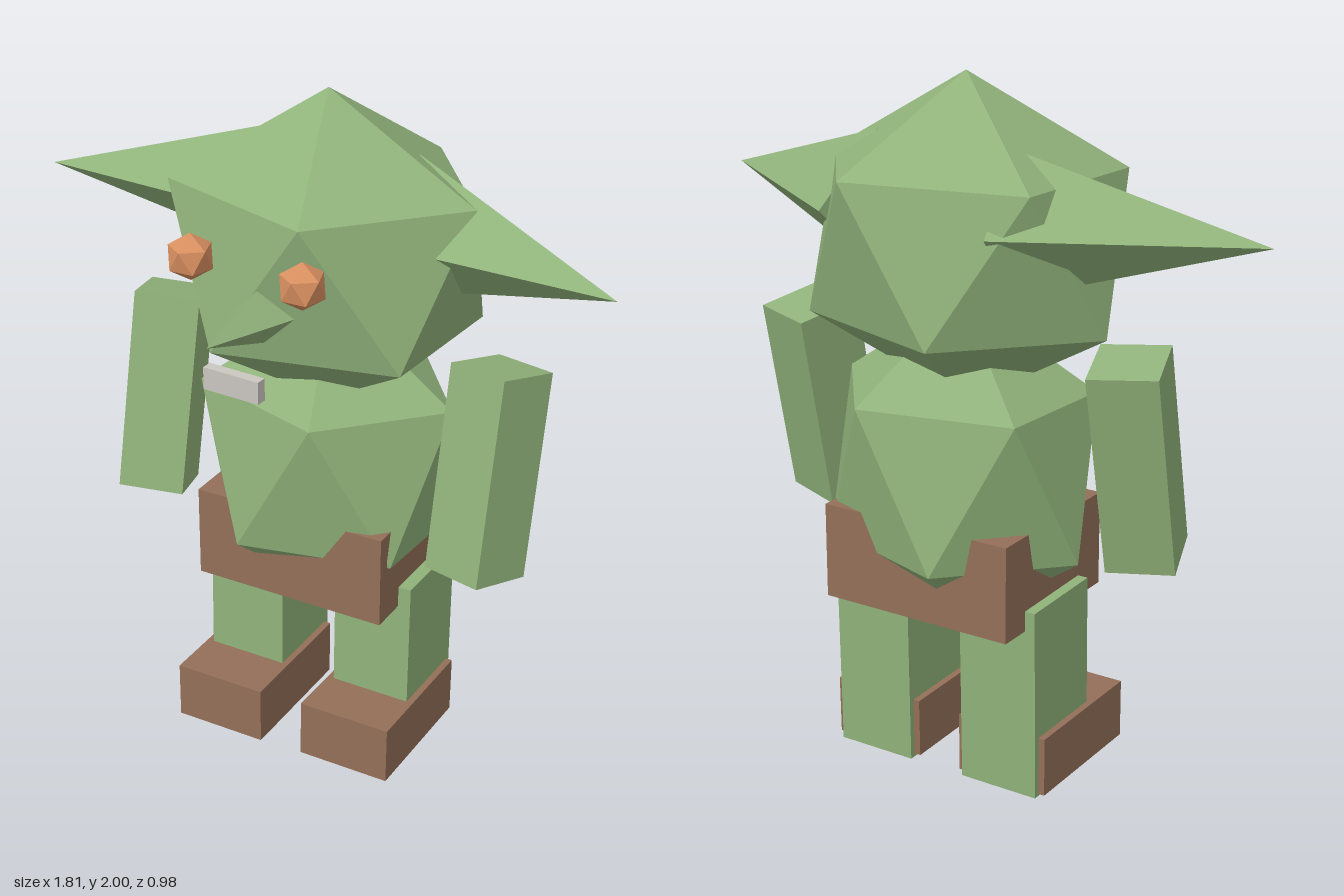
import * as THREE from 'three';

const material = (name, color) => {
  const m = new THREE.MeshStandardMaterial({ color, flatShading: true });
  m.name = name;
  return m;
};

// Twenty-sided ball standing on one point: two rings of five corners between two poles
function icosahedron(rx, ry, rz, turn) {
  const flat = Math.sqrt(0.8), h = Math.sqrt(0.2), pos = [], index = [];
  const ring = (start, y) => {
    for (let k = 0; k < 5; k++) {
      const a = start + (k * Math.PI * 2) / 5;
      pos.push(rx * flat * Math.cos(a), ry * y, rz * flat * Math.sin(a));
    }
  };
  ring(turn, h);
  ring(turn + Math.PI / 5, -h);
  pos.push(0, ry, 0, 0, -ry, 0);
  for (let k = 0; k < 5; k++) {
    const n = (k + 1) % 5;
    index.push(10, n, k, k, n, 5 + k, 5 + k, n, 5 + n, 11, 5 + k, 5 + n);
  }
  const g = new THREE.BufferGeometry();
  g.setAttribute('position', new THREE.Float32BufferAttribute(pos, 3));
  g.setIndex(index);
  const faceted = g.toNonIndexed();
  faceted.computeVertexNormals();
  return faceted;
}

export function createModel() {
  const model = new THREE.Group();
  model.name = 'creature';
  const skin = material('green skin', 0x90b27a);
  const leather = material('brown leather', 0x936f58);
  const amber = material('amber eyes', 0xd88f60);
  const bone = material('pale teeth', 0xcac6c0);
  const deg = Math.PI / 180;

  const add = (name, geometry, mat, position, rotation = [0, 0, 0]) => {
    const mesh = new THREE.Mesh(geometry, mat);
    mesh.name = name;
    mesh.position.set(...position);
    mesh.rotation.set(...rotation);
    model.add(mesh);
    return mesh;
  };
  const box = (w, h, d) => new THREE.BoxGeometry(w, h, d);

  // Head and body
  add('head', icosahedron(0.51, 0.464, 0.437, 3 * deg), skin, [0, 1.536, -0.112]);
  add('body', icosahedron(0.44, 0.487, 0.37, 3 * deg), skin, [0, 0.9, -0.14]);

  // Four-sided ears, each turned forward by its own angle
  for (const [name, side, yaw, tipZ] of [['leftEar', 1, 18, 0.03], ['rightEar', -1, 11, -0.09]]) {
    const a = yaw * deg, half = 0.35;
    add(name, new THREE.ConeGeometry(0.2, half * 2, 4), skin,
      [side * (0.905 - half * Math.cos(a)), 1.63, tipZ - half * Math.sin(a)],
      [0, -side * a, -side * Math.PI / 2]);
  }

  // Face
  add('leftEye', icosahedron(0.068, 0.068, 0.068, 0.3), amber, [0.155, 1.615, 0.305]);
  add('rightEye', icosahedron(0.068, 0.068, 0.068, 0.3), amber, [-0.2, 1.615, 0.28]);
  add('nose', new THREE.ConeGeometry(0.1, 0.3, 4), skin, [-0.015, 1.472, 0.337], [Math.PI / 2, 0, 0.07]);
  add('teeth', box(0.175, 0.065, 0.032), bone, [-0.028, 1.312, 0.352], [0, -3 * deg, 0]);

  // Loincloth wrapped around the lower body
  add('loincloth', box(0.602, 0.28, 0.5), leather, [-0.004, 0.652, -0.138]);

  // Arms, legs and feet
  for (const side of [1, -1]) {
    const label = side > 0 ? 'left' : 'right';
    add(label + 'Arm', box(0.195, 0.6, 0.2), skin,
      [side * 0.531, 0.992, side > 0 ? -0.072 : -0.082], [-12 * deg, -side * 18 * deg, 0]);
    add(label + 'Leg', box(0.247, 0.572, 0.285), skin, [side * 0.213, 0.288, -0.143], [-1 * deg, 0, 0]);
    add(label + 'Foot', box(0.287, 0.176, 0.433), leather,
      [side * 0.213, side > 0 ? 0.101 : 0.096, -0.048], [(side > 0 ? -1 : -0.3) * deg, 0, 0]);
  }
  return model;
}
